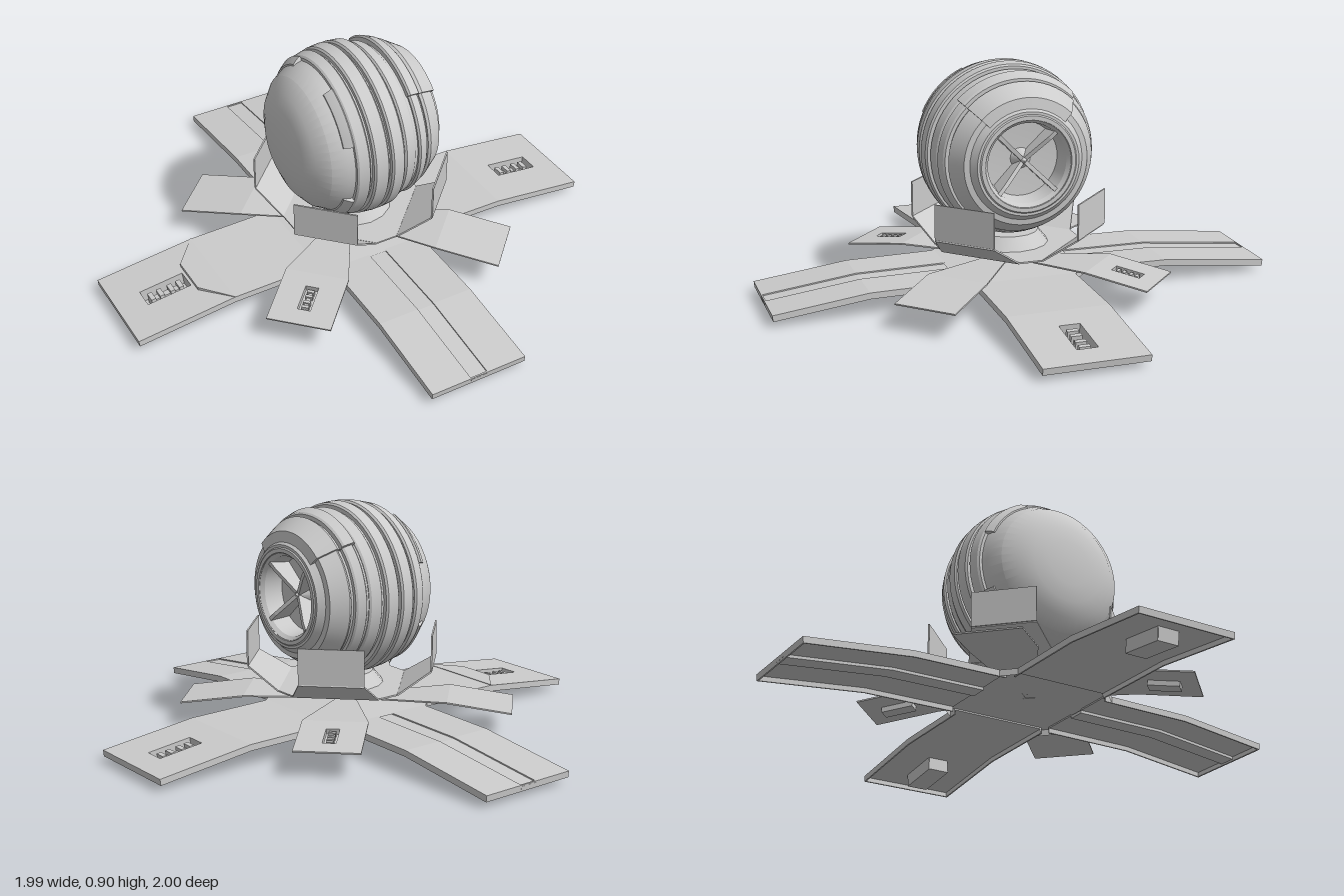
import * as THREE from 'three';
import { toCreasedNormals } from 'three/addons/utils/BufferGeometryUtils.js';
import { ConvexGeometry } from 'three/addons/geometries/ConvexGeometry.js';

const grey = new THREE.MeshStandardMaterial({ color: 0xcccccc, side: THREE.DoubleSide });
const V2 = (a) => a.map(([x, y]) => new THREE.Vector2(x, y));

function add(parent, geo, name) {
  const m = new THREE.Mesh(geo, grey);
  m.name = name;
  parent.add(m);
  return m;
}
function group(parent, name, x = 0, y = 0, z = 0) {
  const g = new THREE.Group();
  g.name = name;
  g.position.set(x, y, z);
  parent.add(g);
  return g;
}

// Move a geometry built along +x so it runs from p0 towards p1 in the x-y plane
function along(geo, p0, p1) {
  return geo.rotateZ(Math.atan2(p1[1] - p0[1], p1[0] - p0[0])).translate(p0[0], p0[1], 0);
}
const span = (p0, p1) => Math.hypot(p1[0] - p0[0], p1[1] - p0[1]);

// Thin sheet between two (radius, height) points; hole = [start, end, width]
function plate(p0, p1, w0, w1 = w0, { z = 0, hole = null, t = 0.006 } = {}) {
  const L = span(p0, p1);
  const s = new THREE.Shape(V2([[0, -w0 / 2], [L, -w1 / 2], [L, w1 / 2], [0, w0 / 2]]));
  if (hole) {
    const [a, b, w] = hole;
    s.holes.push(new THREE.Path(V2([[a, -w / 2], [a, w / 2], [b, w / 2], [b, -w / 2]])));
  }
  const g = new THREE.ExtrudeGeometry(s, { depth: t, bevelEnabled: false });
  return along(g.rotateX(-Math.PI / 2).translate(0, -t, z), p0, p1);
}

// Box placed in the local frame of a sheet: [x, y, z] centre and size
function boxOn(p0, p1, c, size) {
  return along(new THREE.BoxGeometry(...size).translate(...c), p0, p1);
}

// Recessed tray with a small ribbed latch
function pocket(parent, p0, p1, [a, b, w], depth) {
  const g = group(parent, 'latchPocket'), m = (a + b) / 2, L = b - a, t = 0.004;
  add(g, boxOn(p0, p1, [m, -depth + t / 2, 0], [L, t, w]), 'pocketFloor');
  for (const s of [-1, 1]) {
    add(g, boxOn(p0, p1, [m, -depth / 2, s * w / 2], [L, depth, t]), 'pocketSide');
    add(g, boxOn(p0, p1, [m + s * L / 2, -depth / 2, 0], [t, depth, w]), 'pocketEnd');
  }
  add(g, boxOn(p0, p1, [m, -depth * 0.6, 0], [L * 0.72, depth * 0.5, w * 0.3]), 'latchBar');
  for (const k of [-0.32, -0.12, 0.12, 0.32])
    add(g, boxOn(p0, p1, [m + k * L, -depth * 0.5, 0], [L * 0.1, depth * 0.8, w * 0.5]), 'latchRib');
}

// Hollow ramp: sheet with side skirts and an end skirt
function ramp(parent, name, angle, length, style) {
  const g = group(parent, name);
  g.rotation.y = angle;
  const pts = [[0.22, 0.1], [0.6, 0.096], [length, 0.05]], W = 0.4, H = 0.025;
  for (let i = 0; i < 2; i++) {
    const [p, q] = [pts[i], pts[i + 1]], L = span(p, q);
    const hole = style !== 'groove' && i === 1 ? [0.11, 0.295, 0.085] : null;
    if (style === 'groove') {
      for (const s of [-1, 1]) add(g, plate(p, q, 0.165, 0.165, { z: s * 0.1175 }), 'rampSheet');
      add(g, plate(p, q, 0.07, 0.07, { t: 0.012 }).translate(0, -0.005, 0), 'rampGroove');
    } else add(g, plate(p, q, W, W, { hole }), 'rampSheet');
    for (const s of [-1, 1])
      add(g, boxOn(p, q, [L / 2, -H / 2, s * (W / 2 - 0.003)], [L, H, 0.006]), 'rampSkirt');
    if (i === 1) add(g, boxOn(p, q, [L - 0.003, -H / 2, 0], [0.006, H, W]), 'rampEnd');
    if (hole) pocket(g, p, q, hole, 0.058);
  }
  if (style === 'wedge') {
    const c = [];
    for (const s of [-1, 1])
      for (const [x, y, z] of [[0.6, 0.098, 0.2], [0.6, 0.09, 0.2], [0.7, 0.096, 0.08], [0.7, 0.08, 0.08]])
        c.push(new THREE.Vector3(x, y, s * z));
    add(g, new ConvexGeometry(c), 'rampWedge');
  }
}

// Ring (or ring sector) turned about the ball axis from a closed [axis, radius] section
function ring(parent, name, section, mid = 0, arc = Math.PI * 2) {
  const pts = section.map(([a, r]) => new THREE.Vector2(r, a));
  const full = arc > 6.28, start = full ? 0 : mid - arc / 2;
  const geo = new THREE.LatheGeometry([...pts, pts[0]], full ? 64 : Math.ceil(arc * 10), start, arc);
  add(parent, toCreasedNormals(geo, 0.4), name);
  if (!full) for (const phi of [start, start + arc])
    add(parent, new THREE.ShapeGeometry(new THREE.Shape(pts)).rotateY(phi - Math.PI / 2), name + 'End');
}
// Chamfered band section
const band = (a, b, ra, rb, inner, c = 0.007) =>
  [[a, inner], [a, ra - c], [a + c, ra], [b - c, rb], [b, rb - c], [b, inner]];

function buildBall(parent) {
  const ball = group(parent, 'ball', 0, 0.565, 0.037);
  ball.rotation.z = -Math.PI / 2;
  const UP = Math.PI * 1.5;

  // Core with a domed end and an open, dished end
  const core = [[-0.295, 0], [-0.291, 0.09], [-0.28, 0.155], [-0.255, 0.213], [-0.215, 0.26], [-0.16, 0.292],
    [-0.08, 0.31], [0, 0.315], [0.07, 0.31], [0.13, 0.297], [0.185, 0.275], [0.24, 0.245], [0.275, 0.212],
    [0.29, 0.2], [0.29, 0.168], [0.275, 0.155], [0.2, 0.145], [0.19, 0]];
  add(ball, toCreasedNormals(new THREE.LatheGeometry(V2(core.map(([a, r]) => [r, a])), 48), 0.35), 'ballCore');

  // Raised bands
  const bands = [[-0.135, -0.083, 0.316, 0.326], [-0.072, -0.01, 0.332, 0.337], [0.002, 0.06, 0.337, 0.333],
    [0.068, 0.122, 0.318, 0.308], [0.134, 0.178, 0.31, 0.298]];
  for (const [a, b, ra, rb] of bands) ring(ball, 'ballBand', band(a, b, ra, rb, 0.25));
  ring(ball, 'ballShoulder', [[0.19, 0.25], [0.19, 0.28], [0.2, 0.285], [0.262, 0.243], [0.268, 0.2]]);
  ring(ball, 'endLip', [[0.27, 0.166], [0.294, 0.17], [0.294, 0.185], [0.27, 0.215]]);

  // Teeth overlapping the domed end
  for (let i = 0; i < 4; i++)
    ring(ball, 'ballTooth', band(-0.17, -0.133, 0.299, 0.316, 0.26), Math.PI / 4 + i * Math.PI / 2, 0.75);

  // Raised armour across the top quarter
  ring(ball, 'topArmour', band(0.13, 0.182, 0.324, 0.31, 0.27), UP, Math.PI / 2);
  ring(ball, 'topArmour', [[0.186, 0.24], [0.186, 0.29], [0.2, 0.296], [0.272, 0.25], [0.28, 0.205]], UP, Math.PI / 2);

  // Spokes and hub in the dished end
  for (let i = 0; i < 4; i++) {
    const spoke = group(ball, 'spoke');
    spoke.rotation.y = Math.PI / 4 + i * Math.PI / 2;
    const s = new THREE.Shape(V2([[0.01, 0.19], [0.158, 0.19], [0.158, 0.282], [0.125, 0.275], [0.01, 0.235]]));
    add(spoke, new THREE.ExtrudeGeometry(s, { depth: 0.016, bevelEnabled: false }).translate(0, 0, -0.008), 'spokeRib');
  }
  add(ball, new THREE.ConeGeometry(0.045, 0.055, 16).translate(0, 0.215, 0), 'hub');
}

// Cradle: octagonal floor with four folded-up petals
function buildCradle(parent) {
  const g = group(parent, 'cradle', 0.018, 0, 0.03);
  const a = 0.28, b = 0.045;
  const oct = new THREE.Shape(V2([[a, -b], [a, b], [b, a], [-b, a], [-a, b], [-a, -b], [-b, -a], [b, -a]]));
  add(g, new THREE.ExtrudeGeometry(oct, { depth: 0.006, bevelEnabled: false })
    .rotateX(-Math.PI / 2).translate(0, 0.18, 0), 'cradleFloor');
  add(g, new THREE.CylinderGeometry(0.12, 0.16, 0.05, 16).translate(0, 0.21, 0), 'cradleSeat');
  for (let i = 0; i < 4; i++) {
    const petal = group(g, 'petal');
    petal.rotation.y = Math.PI / 4 + i * Math.PI / 2;
    const p = [[0.23, 0.185], [0.355, 0.27], [0.355, 0.41]];
    add(petal, plate(p[0], p[1], 0.333, 0.25), 'petalSlope');
    add(petal, plate(p[1], p[2], 0.25), 'petalWall');
  }
}

// Four thin diagonal flaps, two of them with latches
function buildFlaps(parent) {
  const g = group(parent, 'flaps', -0.008, 0, 0.03);
  for (let i = 0; i < 4; i++) {
    const flap = group(g, 'flap');
    flap.rotation.y = Math.PI / 4 + i * Math.PI / 2;
    const p = [[0.02, 0.121], [0.4, 0.141], [0.652, 0.106]];
    const hole = i % 2 === 0 ? [0.065, 0.185, 0.055] : null;
    add(flap, plate(p[0], p[1], 0.06, 0.25), 'flapInner');
    add(flap, plate(p[1], p[2], 0.25, 0.25, { hole }), 'flapOuter');
    if (hole) pocket(flap, p[1], p[2], hole, 0.026);
  }
}

// Shallow eight-sided roof joining the four ramps
function buildCentre(parent) {
  const g = group(parent, 'rampCentre', 0, 0, 0.03);
  const a = 0.25, b = 0.2, rim = [[a, -b], [a, b], [b, a], [-b, a], [-a, b], [-a, -b], [-b, -a], [b, -a]];
  const pos = [];
  rim.forEach(([x, z], i) => {
    const [u, w] = rim[(i + 1) % 8];
    pos.push(0, 0.118, 0, u, 0.099, w, x, 0.099, z);
    if (i % 2) pos.push(x, 0.099, z, u, 0.099, w, u, 0.074, w, x, 0.099, z, u, 0.074, w, x, 0.074, z);
  });
  const geo = new THREE.BufferGeometry();
  geo.setAttribute('position', new THREE.Float32BufferAttribute(pos, 3));
  geo.computeVertexNormals();
  add(g, geo, 'centreRoof');
}

export function createModel() {
  const model = new THREE.Group();
  model.name = 'ballOnRampPlatform';
  const base = group(model, 'ramps', 0, 0, 0.03);
  ramp(base, 'leftRamp', 0, 0.99, 'plain');
  ramp(base, 'backRamp', Math.PI / 2, 1.03, 'groove');
  ramp(base, 'rightRamp', Math.PI, 1, 'wedge');
  ramp(base, 'frontRamp', -Math.PI / 2, 0.97, 'groove');
  buildCentre(model);
  buildFlaps(model);
  buildCradle(model);
  buildBall(model);
  return model;
}
